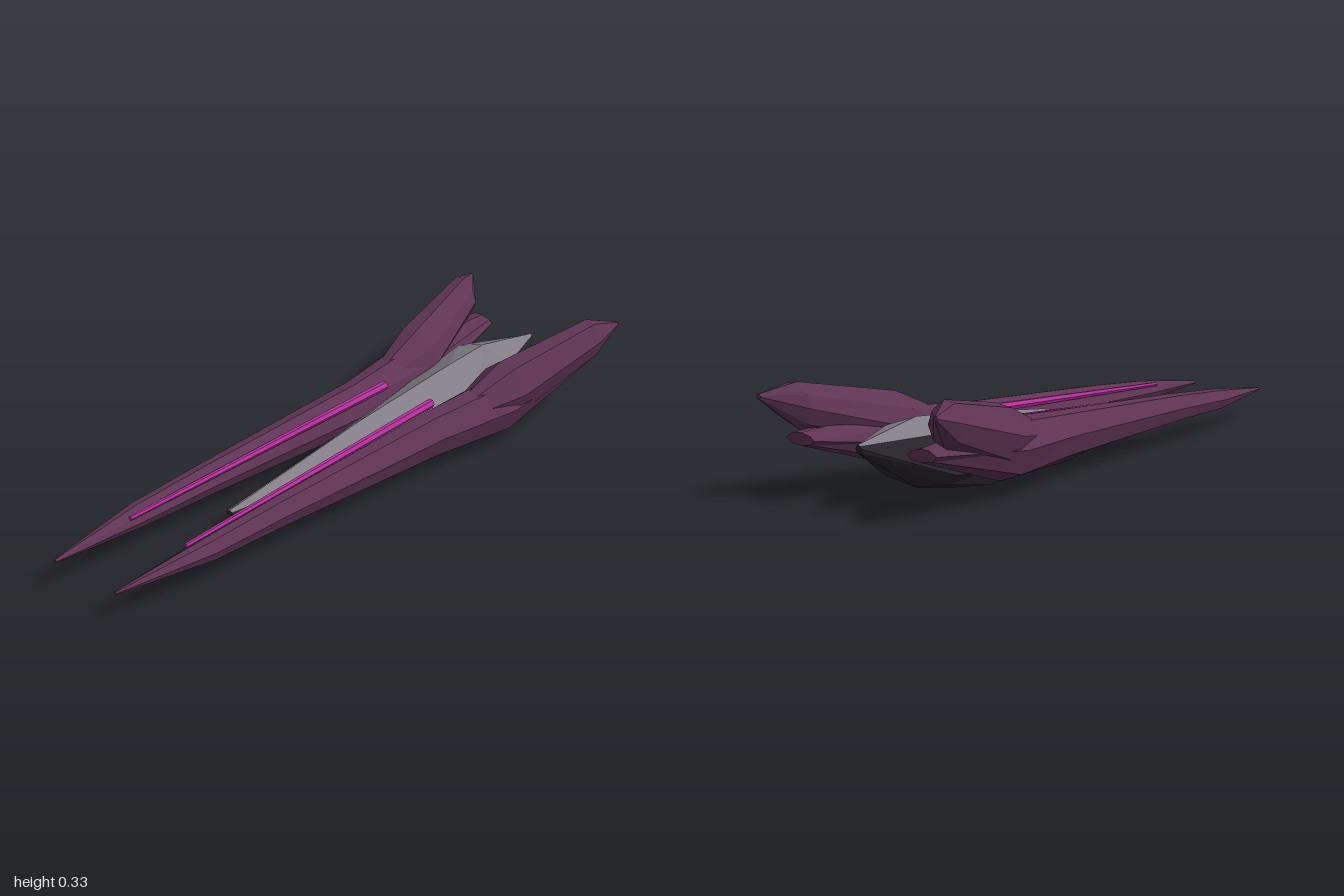
import * as THREE from 'three';

const mat = (name, color) => {
  const m = new THREE.MeshStandardMaterial({ color, flatShading: true });
  m.name = name;
  return m;
};

// Skin rings of [x, y, z] points, counter-clockwise seen from +z, ordered front to back.
function loft(rings, closed = true) {
  const n = rings[0].length, index = [];
  for (let i = 0; i < rings.length - 1; i++) {
    for (let j = 0; j < (closed ? n : n - 1); j++) {
      const k = (j + 1) % n;
      const a = i * n + j, b = i * n + k, c = b + n, d = a + n;
      index.push(a, d, c, a, c, b);
    }
  }
  if (closed) {
    const last = (rings.length - 1) * n;
    for (let j = 1; j < n - 1; j++) index.push(0, j, j + 1, last, last + j + 1, last + j);
  }
  let geo = new THREE.BufferGeometry();
  geo.setAttribute('position', new THREE.Float32BufferAttribute(rings.flat(2), 3));
  geo.setIndex(index);
  geo = geo.toNonIndexed();
  geo.computeVertexNormals();
  return geo;
}

// Lopsided octagon in a unit box, low u facing the hull
const OCTAGON = [[1, 0.55], [0.75, 0.95], [0.45, 1], [0.12, 0.75], [0, 0.45], [0.15, 0.12], [0.45, 0], [0.85, 0.15]];

// Sections are [z, xMin, xMax, yMin, yMax]
function octagonLoft(sections, side) {
  return loft(sections.map(([z, x0, x1, y0, y1]) => {
    const ring = OCTAGON.map(([u, v]) => [side * (x0 + (x1 - x0) * u), y0 + (y1 - y0) * v, z]);
    return side < 0 ? ring.reverse() : ring;
  }));
}

const PRONG = [
  [1, 0.12, 0.131, 0.082, 0.093],
  [0.68, 0.105, 0.186, 0.062, 0.133],
  [0.4, 0.1, 0.195, 0.06, 0.155],
  [-0.25, 0.085, 0.222, 0.045, 0.195],
  [-0.54, 0.083, 0.27, 0.04, 0.22],
  [-0.94, 0.16, 0.26, 0.163, 0.2],
];
const FIN = [
  [-0.42, 0.12, 0.225, 0.1, 0.205],
  [-0.57, 0.09, 0.28, 0.08, 0.268],
  [-0.9, 0.2, 0.32, 0.2, 0.33],
  [-1, 0.296, 0.311, 0.29, 0.305],
];

// Hull stations: z, ridge y, shoulder x y, chine x y, bilge x y, keel y
const HULL = [
  [0.45, 0.076, 0.01, 0.072, 0.012, 0.066, 0.008, 0.06, 0.058],
  [-0.1, 0.165, 0.085, 0.09, 0.13, 0.055, 0.11, 0.022, 0],
  [-0.53, 0.215, 0.115, 0.15, 0.145, 0.07, 0.12, 0.022, 0],
  [-0.7, 0.23, 0.105, 0.195, 0.14, 0.08, 0.11, 0.05, 0.03],
  [-0.945, 0.19, 0.006, 0.185, 0.01, 0.178, 0.006, 0.168, 0.165],
];

export function createModel() {
  const model = new THREE.Group();
  const purple = mat('plum armour', 0x5e3453);
  const grey = mat('grey hull', 0x837e86);
  const dark = mat('dark underside', 0x2b272d);
  const magenta = mat('magenta glow', 0xb3309a);
  const add = (name, geo, material) => {
    const mesh = new THREE.Mesh(geo, material);
    mesh.name = name;
    model.add(mesh);
  };

  // Central hull: light deck over dark sides and belly
  dark.side = grey.side = THREE.DoubleSide;
  add('hullDeck', loft(HULL.map(([z, ry, sx, sy]) => [[sx, sy, z], [0, ry, z], [-sx, sy, z]]), false), grey);
  add('hullBelly', loft(HULL.map(([z, , sx, sy, cx, cy, bx, by, ky]) => [
    [-sx, sy, z], [-cx, cy, z], [-bx, by, z], [0, ky, z], [bx, by, z], [cx, cy, z], [sx, sy, z],
  ]), false), dark);
  // Blunt ends of the hull
  for (const [name, s] of [['hullNose', HULL[0]], ['hullTail', HULL[4]]]) {
    const cap = new THREE.Shape([[0, s[1]], [-s[2], s[3]], [-s[4], s[5]], [0, s[8]], [s[4], s[5]], [s[2], s[3]]]
      .map(([x, y]) => new THREE.Vector2(x, y)));
    add(name, new THREE.ShapeGeometry(cap).translate(0, 0, s[0]), dark);
  }

  for (const side of [1, -1]) {
    const label = side > 0 ? 'left' : 'right';
    add(label + 'Prong', octagonLoft(PRONG, side), purple);
    add(label + 'Fin', octagonLoft(FIN, side), purple);

    // Glowing rod along the upper inner edge of the prong
    const rod = [[0.73, 0.115, 0.118, 0.007], [-0.33, 0.096, 0.18, 0.015]].map(([z, x, y, r]) =>
      Array.from({ length: 6 }, (_, i) => {
        const a = (i * Math.PI) / 3;
        return [side * x + r * Math.cos(a), y + r * Math.sin(a), z];
      }));
    add(label + 'GlowRod', loft(rod), magenta);
  }
  return model;
}
